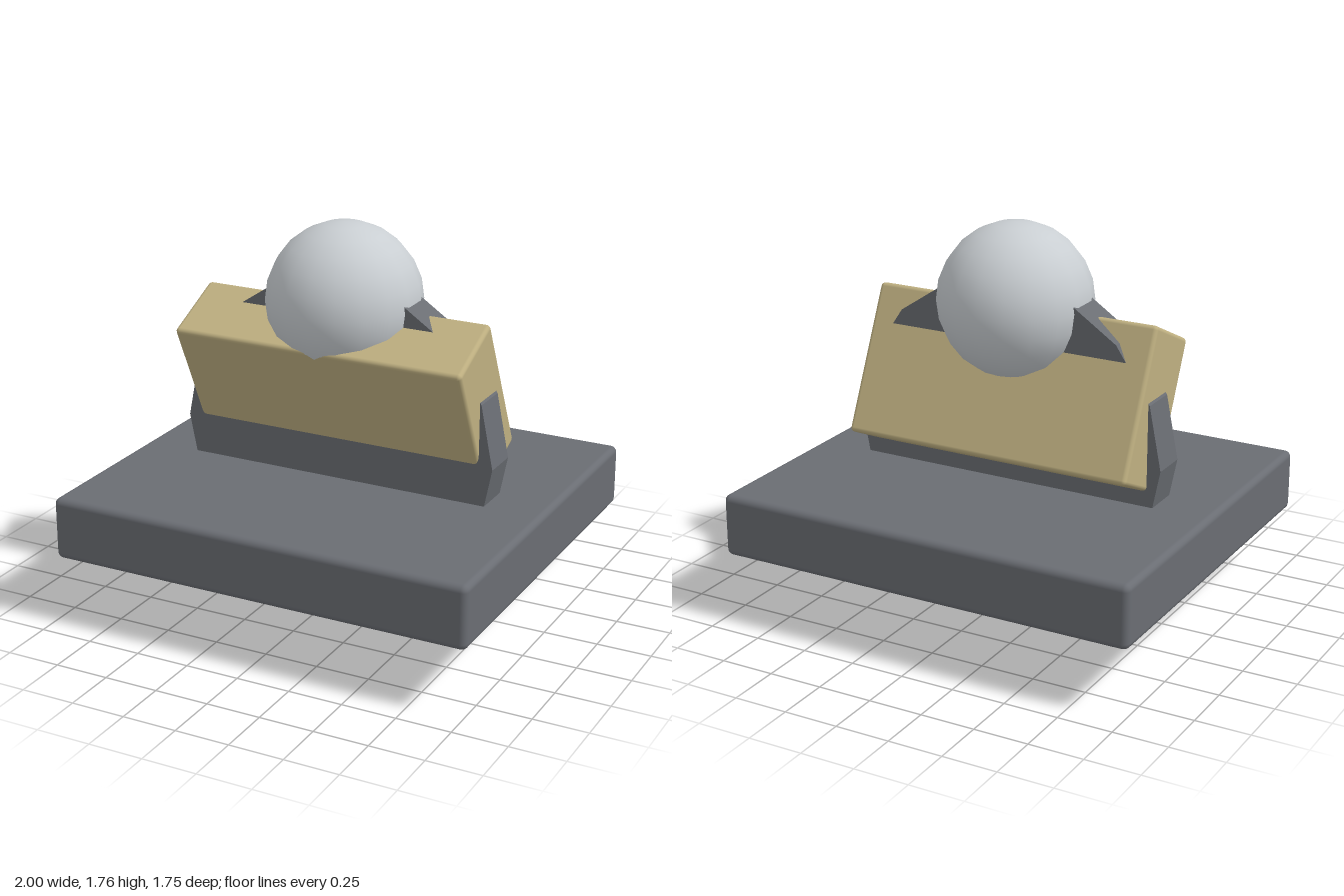
import * as THREE from 'three';
import { RoundedBoxGeometry } from 'three/addons/geometries/RoundedBoxGeometry.js';

const material = (name, color, extra = {}) => {
  const m = new THREE.MeshStandardMaterial({ color, ...extra });
  m.name = name;
  return m;
};

export function createModel() {
  const grey = material('darkGrey', 0x6a6d73);
  const greyFaceted = grey;
  const gold = material('paleGold', 0xbfb081);
  const silver = material('silver', 0xc9ced2);

  const group = new THREE.Group();
  const add = (name, geometry, mat, y) => {
    const mesh = new THREE.Mesh(geometry, mat);
    mesh.name = name;
    mesh.position.y = y;
    group.add(mesh);
    return mesh;
  };

  // Slab with softened edges
  add('basePlate', new RoundedBoxGeometry(2, 0.29, 1.75, 2, 0.03), grey, 0.444);

  // Upright sixteen-sided disc passing through the slab, with hard edges
  const disc = new THREE.CylinderGeometry(0.765, 0.765, 0.175, 16).toNonIndexed();
  disc.computeVertexNormals();
  disc.rotateX(Math.PI / 2);
  add('uprightDisc', disc, greyFaceted, 0.765);

  // Block leaning forward over the disc
  const block = add('tiltedBlock', new RoundedBoxGeometry(1.4, 0.7, 0.35, 2, 0.02), gold, 1.007);
  block.rotation.x = THREE.MathUtils.degToRad(25);

  // Ball resting on the block
  const ball = add('ball', new THREE.SphereGeometry(0.353, 18, 12), silver, 1.412);
  ball.rotation.y = Math.PI / 2;

  return group;
}
